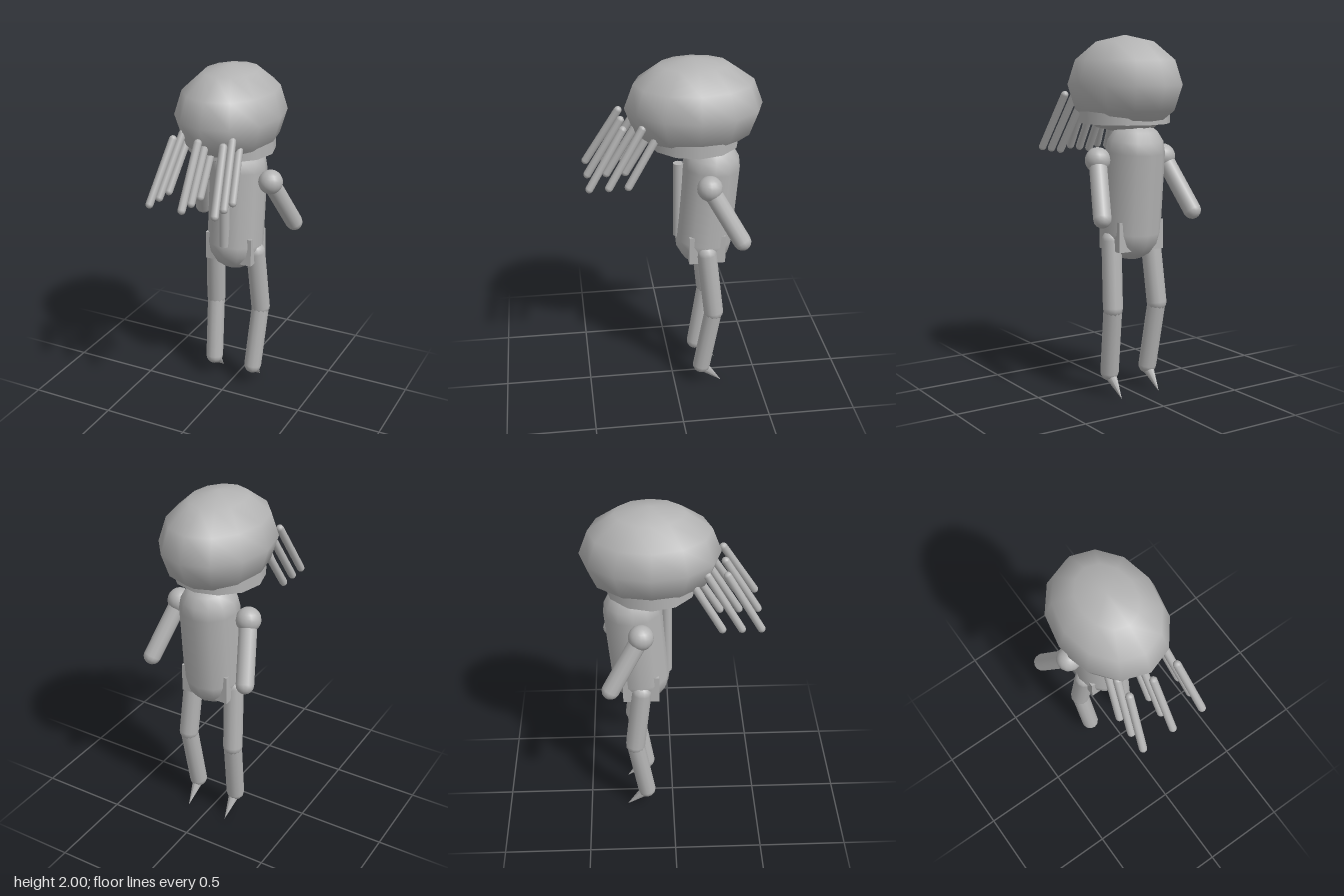
import * as THREE from 'three';

const bodyGrey = new THREE.MeshStandardMaterial({ color: 0xb3b3b3 });
const UP = new THREE.Vector3(0, 1, 0);

export function createModel() {
  const model = new THREE.Group();

  function add(name, geometry, x, y, z) {
    const mesh = new THREE.Mesh(geometry, bodyGrey);
    mesh.name = name;
    mesh.position.set(x, y, z);
    model.add(mesh);
    return mesh;
  }

  // Places a shape that runs along y so that it spans from a to b
  function span(name, a, b, makeGeometry) {
    const from = new THREE.Vector3(...a), to = new THREE.Vector3(...b);
    const dir = to.clone().sub(from);
    const mid = from.add(to).multiplyScalar(0.5);
    const mesh = add(name, makeGeometry(dir.length()), mid.x, mid.y, mid.z);
    mesh.quaternion.setFromUnitVectors(UP, dir.normalize());
    return mesh;
  }

  // Capsule whose end-cap centres are a and b
  const limb = (name, a, b, r, caps = 4, sides = 12) =>
    span(name, a, b, (len) => new THREE.CapsuleGeometry(r, len, caps, sides));

  // Head: low-poly ellipsoid with a collar ring beneath it
  add('head', new THREE.SphereGeometry(1, 12, 6), 0, 1.73, -0.117).scale.set(0.295, 0.27, 0.378);
  add('headCollar', new THREE.CylinderGeometry(0.25, 0.25, 0.12, 12), 0, 1.58, -0.117);

  // Torso leaning slightly back, chest bar and pelvis block
  limb('torso', [0, 0.93, -0.18], [0, 1.37, -0.217], 0.165);
  add('chestBar', new THREE.CylinderGeometry(0.03, 0.03, 0.445, 12), 0, 1.172, -0.034);
  add('pelvis', new THREE.BoxGeometry(0.29, 0.165, 0.205), 0, 0.91, -0.182);

  // Arms and legs, mirrored
  for (const [side, s] of [['left', 1], ['right', -1]]) {
    const shoulder = [s * 0.217, 1.33, -0.177];
    const knee = [s * 0.148, 0.51, -0.222];
    const ankle = [s * 0.13, 0.13, -0.16];
    add(side + 'Shoulder', new THREE.SphereGeometry(0.07, 16, 12), ...shoulder);
    limb(side + 'Arm', shoulder, [s * 0.297, 1.037, -0.348], 0.05);
    limb(side + 'Thigh', [s * 0.13, 0.88, -0.18], knee, 0.057);
    limb(side + 'Shin', knee, ankle, 0.052);
    span(side + 'FootSpike', [s * 0.128, 0.115, -0.165], [s * 0.126, 0, -0.28],
      (len) => new THREE.ConeGeometry(0.035, len, 8));
  }

  // Three rows of three tendrils, splayed outwards
  for (let row = 0; row < 3; row++) {
    for (let col = -1; col <= 1; col++) {
      const z = 0.283 - row * 0.105;
      limb('faceTendril', [col * 0.148, 1.665, z], [col * 0.192, 1.355, z + 0.187], 0.022, 4, 10);
    }
  }

  return model;
}
